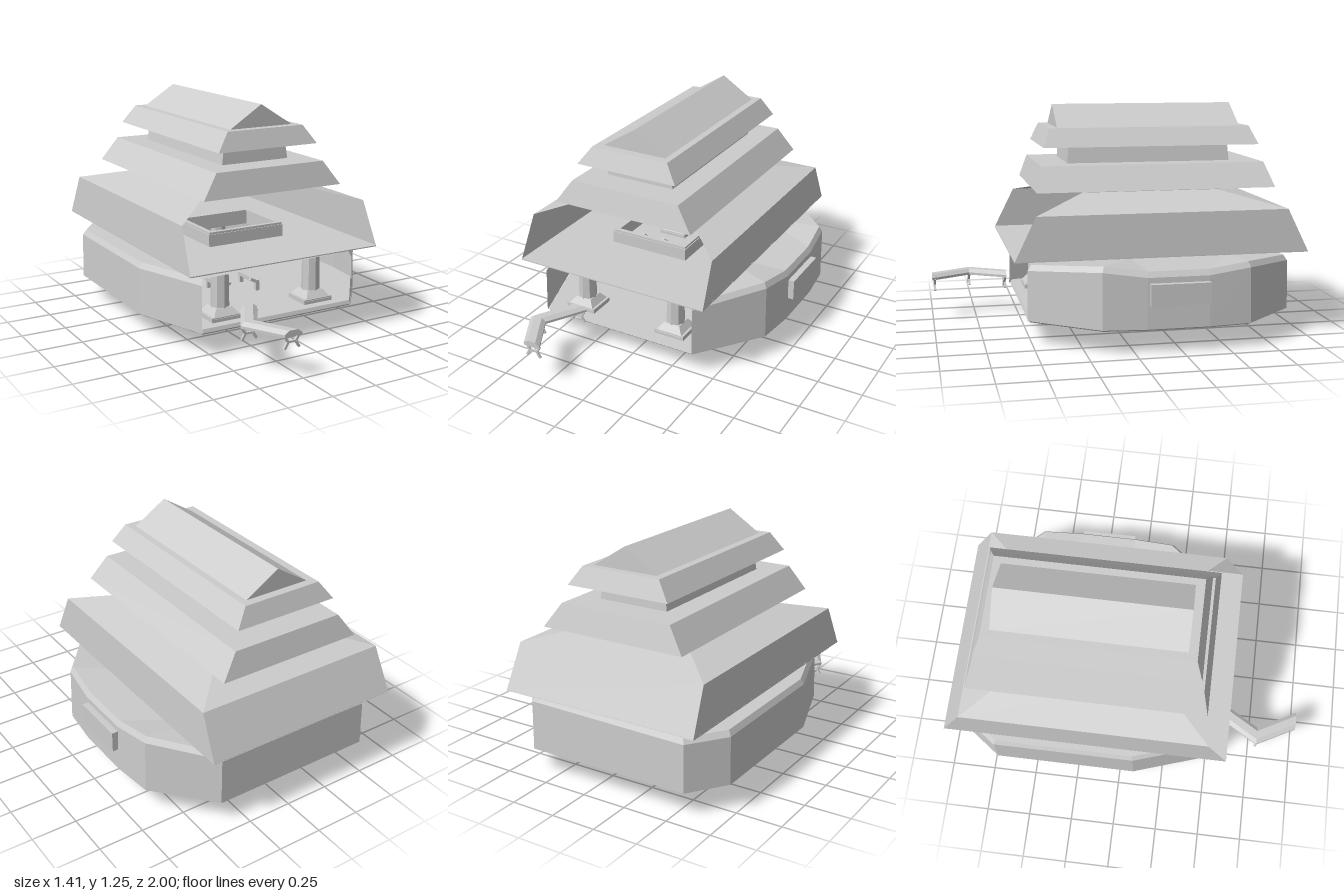
import * as THREE from 'three';

export function createModel() {
  const model = new THREE.Group();
  model.name = 'pagodaHouse';
  const stone = new THREE.MeshStandardMaterial({ color: 0xcccccc, flatShading: true, side: THREE.DoubleSide });
  stone.name = 'paleGrey';

  function add(name, geometry, parent = model) {
    const mesh = new THREE.Mesh(geometry, stone);
    mesh.name = name;
    parent.add(mesh);
    return mesh;
  }

  function group(name) {
    const g = new THREE.Group();
    g.name = name;
    model.add(g);
    return g;
  }

  // Box given by its two extreme corners
  function box(name, x0, x1, y0, y1, z0, z1, parent) {
    const mesh = add(name, new THREE.BoxGeometry(x1 - x0, y1 - y0, z1 - z0), parent);
    mesh.position.set((x0 + x1) / 2, (y0 + y1) / 2, (z0 + z1) / 2);
    return mesh;
  }

  // Square bar between two points
  function beam(name, a, b, t, parent) {
    const p = new THREE.Vector3(...a), q = new THREE.Vector3(...b);
    const mesh = add(name, new THREE.BoxGeometry(t, t, p.distanceTo(q)), parent);
    mesh.position.copy(p).add(q).multiplyScalar(0.5);
    mesh.lookAt(q);
    return mesh;
  }

  // Skin over closed convex rings, with optional caps and one side left open
  function loft(rings, { bottom = false, top = false, open = -1 } = {}) {
    const pos = [];
    const n = rings[0].length;
    const tri = (a, b, c) => pos.push(...a, ...b, ...c);
    for (let r = 0; r < rings.length - 1; r++) {
      for (let i = 0; i < n; i++) {
        if (i === open) continue;
        const j = (i + 1) % n, lo = rings[r], hi = rings[r + 1];
        tri(lo[i], lo[j], hi[j]);
        tri(lo[i], hi[j], hi[i]);
      }
    }
    const first = rings[0], last = rings[rings.length - 1];
    for (let i = 1; i < n - 1; i++) {
      if (bottom) tri(first[0], first[i + 1], first[i]);
      if (top) tri(last[0], last[i], last[i + 1]);
    }
    const g = new THREE.BufferGeometry();
    g.setAttribute('position', new THREE.Float32BufferAttribute(pos, 3));
    g.computeVertexNormals();
    return g;
  }

  // Rectangle ring; its last side is the front
  const rect = (x0, x1, z0, z1, y) => [[x1, y, z1], [x1, y, z0], [x0, y, z0], [x0, y, z1]];

  // Plinth with a round boss at either end
  box('plinth', -0.34, 0.17, 0, 0.12, -0.605, 0.14);
  box('plinthRim', -0.37, 0.2, 0.113, 0.122, -0.64, 0.165);
  for (const z of [0.141, -0.607]) {
    const boss = add('plinthBoss', new THREE.CylinderGeometry(0.041, 0.041, 0.008, 7));
    boss.rotation.x = Math.PI / 2;
    boss.position.set(-0.08, 0.055, z);
  }

  // Ground storey: [x, z, top height] round the outline, front side last
  const outline = [
    [0.38, 0.52, 0.43], [0.645, 0.17, 0.46], [0.67, -0.06, 0.43], [0.67, -0.39, 0.43], [0.645, -0.62, 0.457],
    [0.38, -0.92, 0.43], [-0.55, -0.92, 0.415], [-0.695, -0.72, 0.415], [-0.695, 0.08, 0.415], [-0.55, 0.52, 0.415],
  ];
  const cx = -0.02, cz = -0.2;
  const ring = (k, yOf) => outline.map((p) => [cx + (p[0] - cx) * k, yOf(p), cz + (p[1] - cz) * k]);
  add('groundFloor', loft([ring(0.985, () => 0.12), ring(1, () => 0.13), ring(0.99, () => 0.15)],
    { bottom: true, top: true }));
  const wallTop = ring(1, (p) => p[2] - 0.03);
  const rimTop = ring(0.975, (p) => p[2]);
  add('outerWall', loft([ring(1.008, () => 0.13), wallTop, rimTop], { open: 9 }));

  // Terrace runs from the wall rim in to the neck of the upper storey
  const clamp = THREE.MathUtils.clamp;
  const neckEdge = outline.map((p) => [clamp(p[0], -0.42, 0.25), 0.42, clamp(p[1], -0.76, 0.35)]);
  add('terrace', loft([rimTop, neckEdge]));
  add('neck', loft([rect(-0.42, 0.25, -0.76, 0.35, 0.412), rect(-0.42, 0.25, -0.76, 0.35, 0.466)]));
  box('bayWindow', 0.64, 0.705, 0.255, 0.37, -0.39, -0.07);

  // Columns on splayed bases
  for (const x of [-0.37, 0.205]) {
    for (const z of [0.38, -0.68]) {
      const column = group('column');
      column.position.set(x, 0, z);
      const foot = add('columnFoot', new THREE.BoxGeometry(0.18, 0.03, 0.16), column);
      foot.position.y = 0.16;
      const base = add('columnBase', new THREE.CylinderGeometry(0.068, 0.115, 0.045, 4, 1, false, Math.PI / 4), column);
      base.position.y = 0.19;
      const shaft = add('columnShaft', new THREE.CylinderGeometry(0.048, 0.052, 0.26, 8), column);
      shaft.position.y = 0.335;
    }
  }

  // Stair climbing from the back of the hall to the opening in front
  const stair = group('stair');
  const steps = 11;
  for (let i = 0; i < steps; i++) {
    const y = 0.15 + (i * 0.315) / steps, z = -0.26 + (i * 0.4) / steps;
    box('step', -0.14, -0.025, y, y + 0.0285, z, z + 0.045, stair);
  }
  for (const x of [-0.148, -0.017]) {
    beam('stringer', [x, 0.15, -0.26], [x, 0.46, 0.15], 0.016, stair);
    beam('handrail', [x, 0.25, -0.26], [x, 0.54, 0.13], 0.014, stair);
    beam('handrailPost', [x, 0.15, -0.25], [x, 0.26, -0.25], 0.014, stair);
  }

  // Low railings either side of the stair
  for (const s of [-1, 1]) {
    const rail = group('hallRailing');
    const x = -0.082 + s * 0.108, inner = -0.082 + s * 0.065;
    for (const z of [0.1, -0.08]) beam('railPost', [x, 0.11, z], [x, 0.2, z], 0.022, rail);
    beam('railTop', [x, 0.2, 0.11], [x, 0.2, -0.1], 0.022, rail);
    beam('railCurve', [x, 0.2, 0.1], [inner, 0.222, 0.1], 0.016, rail);
  }

  // Upper floor with the stair opening and its parapet
  const plate = (x0, x1, z0, z1) => [[x0, -z1], [x1, -z1], [x1, -z0], [x0, -z0]].map((p) => new THREE.Vector2(...p));
  function frame(name, outer, inner, y, h) {
    const shape = new THREE.Shape(plate(...outer));
    shape.holes.push(new THREE.Path(plate(...inner)));
    const mesh = add(name, new THREE.ExtrudeGeometry(shape, { depth: h, bevelEnabled: false }));
    mesh.rotation.x = -Math.PI / 2;
    mesh.position.y = y;
  }
  frame('upperFloor', [-0.655, 0.485, -0.998, 0.6], [-0.3, 0.13, -0.19, 0.155], 0.465, 0.006);
  frame('stairParapet', [-0.32, 0.15, -0.21, 0.175], [-0.3, 0.13, -0.19, 0.155], 0.47, 0.068);
  frame('parapetCap', [-0.315, 0.145, -0.205, 0.17], [-0.29, 0.12, -0.18, 0.145], 0.538, 0.012);

  // Great roof, open towards the front
  add('greatRoof', loft([
    rect(-0.655, 0.485, -1, 0.6, 0.466),
    rect(-0.64, 0.475, -0.885, 0.485, 0.702),
    rect(-0.34, 0.17, -0.575, 0.19, 0.778),
  ], { open: 3 }));

  // Stacked tiers: [x0, x1, z0, z1, y] at bottom and top
  const tiers = [
    ['middleNeck', [-0.34, 0.17, -0.59, 0.19, 0.777], [-0.34, 0.17, -0.59, 0.19, 0.805]],
    ['middleRoof', [-0.502, 0.335, -0.858, 0.46, 0.803], [-0.41, 0.242, -0.82, 0.425, 0.935]],
    ['topNeck', [-0.287, 0.12, -0.657, 0.263, 0.934], [-0.272, 0.106, -0.65, 0.257, 1.031]],
    ['topRoof', [-0.385, 0.215, -0.8, 0.406, 1.03], [-0.312, 0.147, -0.762, 0.368, 1.13]],
  ];
  for (const [name, lo, hi] of tiers) {
    add(name, loft([rect(...lo), rect(...hi)], { bottom: true, top: true }));
  }

  // Ridge prism
  const gable = new THREE.Shape([[-0.27, 1.129], [0.11, 1.129], [-0.08, 1.25]].map((p) => new THREE.Vector2(...p)));
  const ridge = add('ridge', new THREE.ExtrudeGeometry(gable, { depth: 1.035, bevelEnabled: false }));
  ridge.position.z = -0.717;

  // Angled footbridge in front; slightly crowned deck
  const bridge = group('footbridge');
  const bends = [[-0.305, 0.57], [-0.428, 0.78], [-0.31, 1]];
  const section = ([x, z]) => [
    [x - 0.05, 0.228, z], [x + 0.05, 0.228, z], [x + 0.05, 0.242, z],
    [x + 0.025, 0.26, z], [x - 0.025, 0.26, z], [x - 0.05, 0.242, z],
  ];
  add('deck', loft(bends.map(section), { bottom: true, top: true }), bridge);

  // Hourglass trestles under each bend
  for (const [bx, bz] of bends) {
    const z = clamp(bz, 0.58, 0.985);
    for (const s of [-1, 1]) {
      beam('trestleUpper', [bx + s * 0.042, 0.232, z], [bx + s * 0.022, 0.198, z], 0.012, bridge);
      beam('trestleLower', [bx + s * 0.022, 0.198, z], [bx + s * 0.042, 0.165, z], 0.012, bridge);
    }
    beam('trestleTie', [bx - 0.025, 0.198, z], [bx + 0.025, 0.198, z], 0.01, bridge);
  }

  return model;
}
